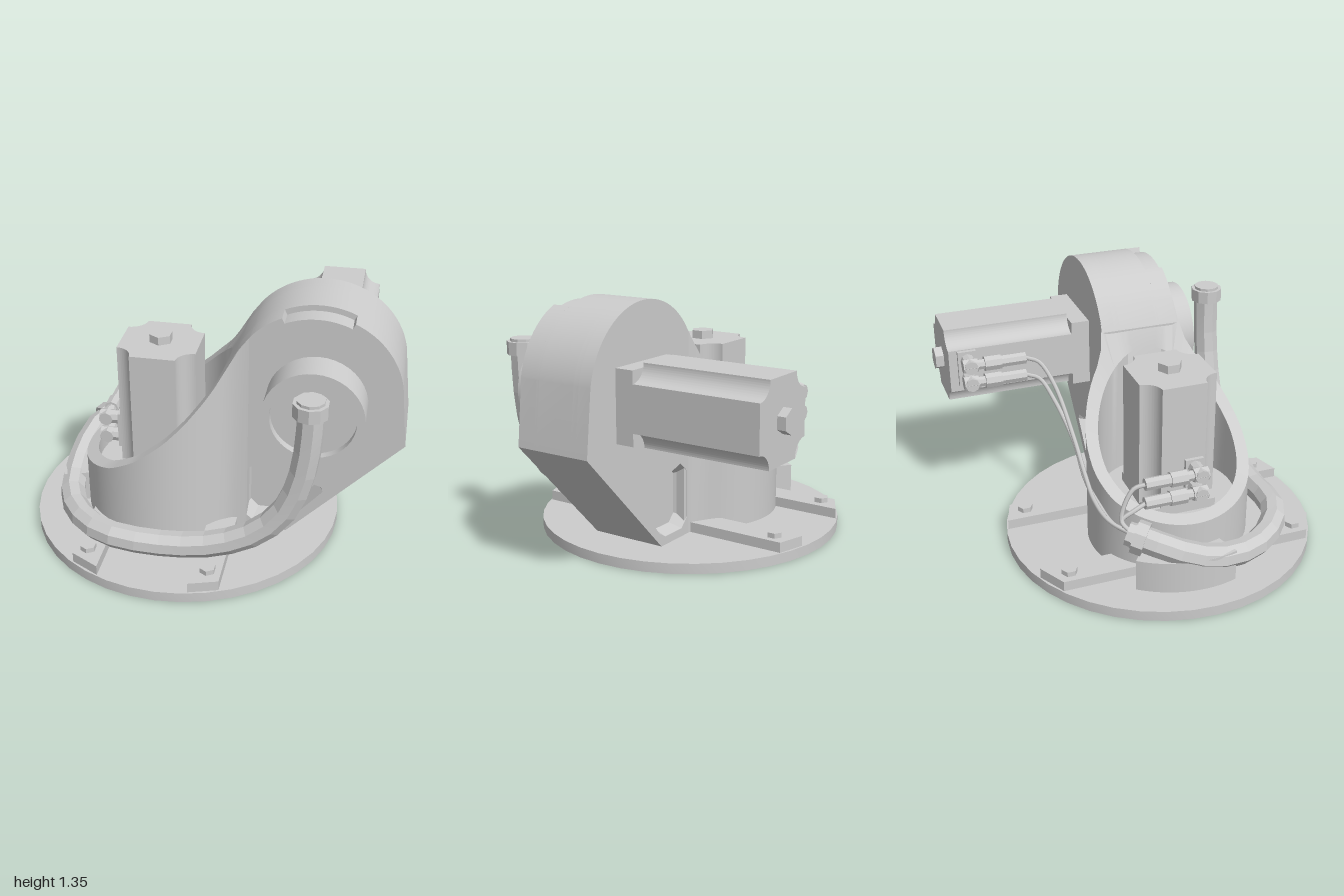
import * as THREE from 'three';
import { toCreasedNormals } from 'three/addons/utils/BufferGeometryUtils.js';

const CX = -0.29, CZ = 0.105;            // axis of the round housing
const V3 = (p) => new THREE.Vector3(...p);
const V2 = (p) => new THREE.Vector2(...p);

// Height of the sweeping top edge of the housing
const RIM = [[-0.73, 0.36], [-0.6, 0.41], [-0.5, 0.45], [-0.35, 0.54], [-0.2, 0.66], [-0.1, 0.76],
  [0, 0.88], [0.05, 0.95], [0.1, 1.04], [0.15, 1.13], [0.21, 1.21]];
function rimHeight(x) {
  for (let i = 1; i < RIM.length; i++) {
    const [x0, y0] = RIM[i - 1], [x1, y1] = RIM[i];
    if (x <= x1) return y0 + (y1 - y0) * (x - x0) / (x1 - x0);
  }
  return RIM[RIM.length - 1][1];
}

// Skin between closed rows of points: rows[i][k]
function loft(rows) {
  const pos = [], n = rows[0].length;
  for (let i = 0; i < rows.length - 1; i++) for (let k = 0; k < n; k++) {
    const a = rows[i][k], b = rows[i][(k + 1) % n], c = rows[i + 1][k], d = rows[i + 1][(k + 1) % n];
    pos.push(...a, ...b, ...c, ...b, ...d, ...c);
  }
  const g = new THREE.BufferGeometry();
  g.setAttribute('position', new THREE.Float32BufferAttribute(pos, 3));
  return g;
}

// Hollow round housing that flares into the arm, is cut by the rim curve and widens below its floor
function housingGeometry() {
  const rad = Math.PI / 180, w = 0.211, rows = [];
  for (let i = 0; i <= 72; i++) {
    const deg = i * 5 > 180 ? i * 5 - 360 : i * 5, a = Math.abs(deg), c = Math.cos(deg * rad), s = Math.sin(deg * rad);
    let x = CX + 0.43 * c, dz = 0.43 * s;
    if (a <= 25) { x = 0.2; dz = w * deg / 25; }
    else if (a < 40) {
      const t = (40 - a) / 15, u = 1 - t;
      x = 0.04 * u * u + 2 * 0.094 * u * t + 0.2 * t * t;
      dz = Math.sign(deg) * (0.276 * u * u + 2 * w * u * t + w * t * t);
    }
    const xi = CX + 0.365 * c, zi = CZ + 0.365 * s, xw = CX + 0.41 * c, zw = CZ + 0.41 * s;
    rows.push([[x, 0.04, CZ + dz], [x, rimHeight(x), CZ + dz], [xi, rimHeight(xi), zi], [xi, 0.28, zi], [xw, 0.28, zw], [xw, 0.04, zw]]);
  }
  return loft(rows);
}

// Square with scooped corners
function scoopedSquare(h, r) {
  const s = new THREE.Shape();
  [[1, 1], [-1, 1], [-1, -1], [1, -1]].forEach(([sx, sy], i) => {
    const start = -Math.PI / 2 + i * Math.PI / 2;
    s.absarc(sx * h, sy * h, r, start, start - Math.PI / 2, true);
  });
  s.closePath();
  return s;
}

// Side profile of the arm; options: crown notch, side pocket, hollow underside
const POCKET = [[0.18, 0.41], [0.18, 0.15], [0.23, 0.1], [0.38, 0.1], [0.43, 0.13], [0.6, 0.33], [0.59, 0.36], [0.24, 0.46]];
function armShape({ notch, pocket, hollow }) {
  const s = new THREE.Shape(), d = Math.PI / 180, hx = 0.535, hy = 0.92, r = 0.435;
  s.moveTo(0.125, 0.04);
  if (hollow) [[0.2, 0.04], [0.2, 0.4], [0.5, 0.36], [0.57, 0.27], [0.37, 0.04]].forEach((p) => s.lineTo(...p));
  s.lineTo(0.4, 0.04);
  s.lineTo(1, 0.66);
  if (notch) {
    s.absarc(hx, hy, r, 10 * d, 66 * d, false);
    s.absarc(hx, hy, 0.405, 66 * d, 114 * d, false);
    s.absarc(hx, hy, r, 114 * d, 140 * d, false);
  } else s.absarc(hx, hy, r, 10 * d, 140 * d, false);
  s.lineTo(0.15, 1.13);
  s.lineTo(0.125, 1.085);
  s.closePath();
  if (pocket) s.holes.push(new THREE.Path(POCKET.map(V2)));
  return s;
}

export function createModel() {
  const root = new THREE.Group();
  root.name = 'motorisedJoint';
  const grey = new THREE.MeshStandardMaterial({ color: 0xcccccc });
  grey.name = 'plainGrey';

  const add = (parent, name, geo, at = [0, 0, 0], crease = 0.6) => {
    const m = new THREE.Mesh(toCreasedNormals(geo, crease), grey);
    m.name = name;
    m.position.set(...at);
    parent.add(m);
    return m;
  };
  const extrude = (shape, depth) => new THREE.ExtrudeGeometry(shape, { depth, bevelEnabled: false, curveSegments: 20 });
  const upright = (shape, depth) => extrude(shape, depth).rotateX(-Math.PI / 2);
  const tube = (pts, r, seg, sides) => new THREE.TubeGeometry(new THREE.CatmullRomCurve3(pts.map(V3)), seg, r, sides);
  // Prism lying along z
  const rodZ = (r, len, sides) => new THREE.CylinderGeometry(r, r, len, sides).rotateX(Math.PI / 2);

  // Base flange with a keyhole opening under the housing and the hollow arm
  const flange = new THREE.Shape().absarc(-0.165, -0.1, 0.835, 0, Math.PI * 2, false);
  const keyhole = new THREE.Path().absarc(CX, -CZ, 0.415, 0.3, Math.PI * 2 - 0.3, false);
  keyhole.lineTo(0.37, -0.22);
  keyhole.lineTo(0.37, 0.01);
  keyhole.closePath();
  flange.holes.push(keyhole);
  add(root, 'baseFlange', upright(flange, 0.055));

  // Mounting feet with hex bolts; outer ends follow the flange edge
  const edge = (x) => Math.sqrt(0.825 ** 2 - (x + 0.165) ** 2);
  for (const [x0, in0, x1, in1, bx, bz] of [[-0.63, 0.24, -0.48, 0.37, -0.56, 0.63], [0, 0.3, 0.15, 0.21, 0.08, 0.69]]) {
    for (const side of [1, -1]) {
      const foot = new THREE.Shape([[x0, in0], [x1, in1], [x1, edge(x1)], [x0, edge(x0)]]
        .map(([x, z]) => new THREE.Vector2(x, -(0.1 + side * z))));
      add(root, 'mountingFoot', upright(foot, 0.055), [0, 0.055, 0]);
      add(root, 'footBolt', new THREE.CylinderGeometry(0.042, 0.042, 0.03, 6), [bx, 0.122, 0.1 + side * bz]);
    }
  }

  // Housing, its inner floor, and the curved ledge that carries the hose
  add(root, 'housing', housingGeometry());
  add(root, 'housingFloor', new THREE.CylinderGeometry(0.37, 0.37, 0.04, 48), [CX, 0.275, CZ]);
  const ledge = new THREE.Shape();
  ledge.absarc(CX, -CZ, 0.565, 2.49, 3.44, false);
  ledge.absarc(CX, -CZ, 0.42, 3.44, 2.49, true);
  ledge.closePath();
  add(root, 'hoseLedge', upright(ledge, 0.18), [0, 0.05, 0]);

  // Arm in layers: pockets on both faces, hollow core, notch on the front of the crown
  for (const [z0, z1, cut] of [[-0.11, -0.04, { pocket: true }], [-0.04, -0.01, {}], [-0.01, 0.2, { hollow: true }],
    [0.2, 0.215, {}], [0.215, 0.315, { pocket: true, notch: true }]]) {
    add(root, 'arm', extrude(armShape(cut), z1 - z0), [0, 0, z0], 0.4);
  }

  // Drafted walls inside the pockets
  const ring = (k, z) => POCKET.map(([x, y]) => [0.36 + (x - 0.36) * k, 0.27 + (y - 0.27) * k, z]);
  add(root, 'frontPocketWall', loft([ring(1, 0.314), ring(0.85, 0.215)]), [0, 0, 0], 0.1);
  add(root, 'backPocketWall', loft([ring(0.85, -0.04), ring(1, -0.109)]), [0, 0, 0], 0.1);

  // Output boss with a shallow recess
  const boss = [[0, 0.3], [0.256, 0.3], [0.256, 0.492], [0.215, 0.492], [0.215, 0.45], [0, 0.45]].map(V2);
  add(root, 'outputBoss', new THREE.LatheGeometry(boss, 40).rotateX(Math.PI / 2), [0.545, 0.87, 0]);

  // Motor along +z: mount, scooped body, hex shaft end
  const motor = (name) => {
    const g = new THREE.Group();
    g.name = name;
    add(g, 'motorMount', new THREE.BoxGeometry(0.415, 0.37, 0.165), [0, 0, 0.0175]);
    add(g, 'motorBody', extrude(scoopedSquare(0.2075, 0.088), 0.685), [0, 0, 0.1]);
    add(g, 'motorBolt', rodZ(0.063, 0.045, 6), [0, 0, 0.807]);
    root.add(g);
    return g;
  };
  const baseMotor = motor('baseMotor');
  baseMotor.rotation.x = -Math.PI / 2;
  baseMotor.position.set(CX - 0.007, 0.245, CZ);
  const armMotor = motor('armMotor');
  armMotor.rotation.y = Math.PI;
  armMotor.position.set(0.57, 0.875, -0.11);

  // Elbow plugs: pad on the motor side, elbow, then a sleeve running along z
  const plug = (name, x, z, dir, ys) => {
    const g = new THREE.Group();
    g.name = name;
    add(g, 'socketPad', new THREE.BoxGeometry(0.03, 0.2, 0.1), [-0.005, (ys[0] + ys[1]) / 2, 0]);
    for (const y of ys) {
      add(g, 'plugElbow', new THREE.CylinderGeometry(0.038, 0.038, 0.115, 8).rotateZ(Math.PI / 2), [-0.07, y, 0]);
      add(g, 'plugCorner', rodZ(0.038, 0.08, 8), [-0.09, y, 0]);
      add(g, 'plugSleeve', rodZ(0.028, 0.28, 8), [-0.09, y, dir * 0.15]);
      add(g, 'plugGrip', rodZ(0.041, 0.09, 8), [-0.09, y, dir * 0.12]);
      add(g, 'plugBoot', rodZ(0.033, 0.14, 8), [-0.09, y, dir * 0.23]);
    }
    g.position.set(x, 0, z);
    root.add(g);
  };
  plug('baseMotorPlugs', -0.505, 0.16, -1, [0.57, 0.46]);
  plug('armMotorPlugs', 0.36, -0.8, 1, [0.94, 0.84]);

  // Thin cables gathered into the hose, draped outside the housing
  for (const i of [0, 1]) {
    const o = i * 0.022, ya = 0.94 - i * 0.1, yb = 0.57 - i * 0.11;
    add(root, 'armCable', tube([[0.27, ya, -0.5], [0.26, ya - 0.03, -0.43], [0.16, ya - 0.13, -0.375], [-0.05, 0.58 - o, -0.335],
      [-0.25, 0.46 - o, -0.338], [-0.42, 0.41 - o, -0.345 + o], [-0.57, 0.38 - o, -0.32 + o], [-0.69, 0.35, -0.23]], 0.012, 48, 6), [0, 0, 0], 1.2);
    add(root, 'baseCable', tube([[-0.595, yb, -0.13], [-0.59 - o, yb - 0.02, -0.2], [-0.62, 0.4, -0.27], [-0.69, 0.35, -0.23]],
      0.012, 20, 6), [0, 0, 0], 1.2);
  }

  // Faceted hose around the housing and up to the boss
  const hose = [[-0.68, 0.345, -0.23], [-0.755, 0.31, -0.12], [-0.79, 0.24, 0.03], [-0.79, 0.185, 0.2], [-0.74, 0.165, 0.4],
    [-0.6, 0.165, 0.58], [-0.43, 0.17, 0.67], [-0.12, 0.16, 0.675], [0.12, 0.205, 0.675], [0.32, 0.31, 0.675],
    [0.45, 0.46, 0.675], [0.52, 0.66, 0.675], [0.548, 0.85, 0.675], [0.555, 1.06, 0.675]];
  add(root, 'hose', tube(hose, 0.068, 22, 8), [0, 0, 0], 0.05);
  add(root, 'hoseTopCollar', new THREE.CylinderGeometry(0.088, 0.088, 0.07, 10), [0.55, 1.045, 0.675], 0.1);
  add(root, 'hoseTopCap', new THREE.CylinderGeometry(0.07, 0.07, 0.09, 10), [0.55, 1.05, 0.675], 0.1);
  const collar = add(root, 'hoseCollar', rodZ(0.088, 0.06, 8), [-0.7, 0.335, -0.2], 0.1);
  collar.lookAt(-0.755, 0.31, -0.12);
  const cap = add(root, 'hoseCap', rodZ(0.062, 0.05, 8), [-0.677, 0.346, -0.235], 0.1);
  cap.lookAt(-0.755, 0.31, -0.12);

  return root;
}
